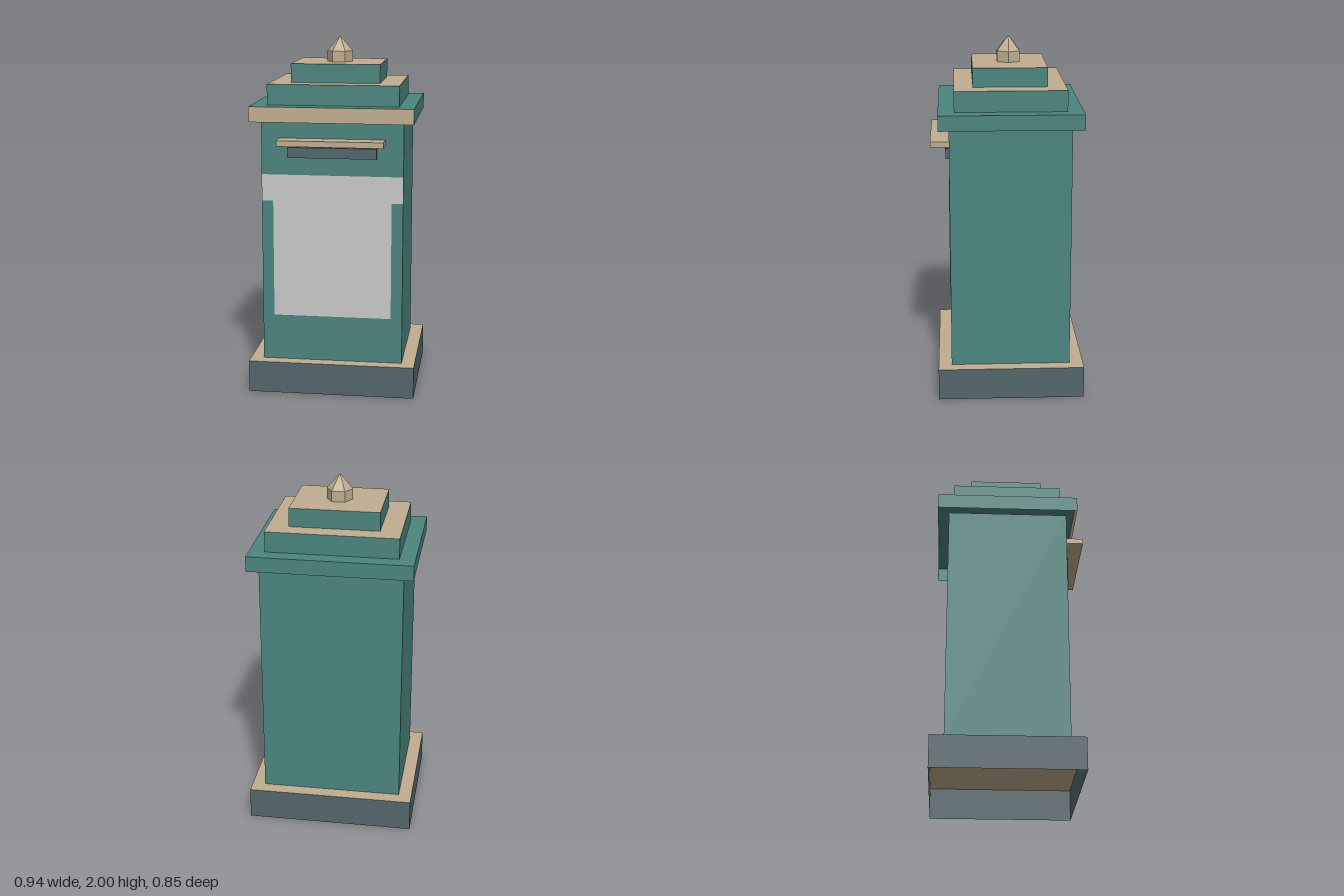
import * as THREE from 'three';

const mat = (name, color) => {
  const m = new THREE.MeshStandardMaterial({ color, side: THREE.DoubleSide });
  m.name = name;
  return m;
};

// Box without a floor, given as half width, height range and depth range.
// Face order: +x, -x, top, front, back.
function openBox(name, halfX, y0, y1, z0, z1, materials) {
  const geo = new THREE.BoxGeometry(halfX * 2, y1 - y0, z1 - z0);
  const idx = Array.from(geo.index.array);
  idx.splice(18, 6);
  geo.setIndex(idx);
  geo.clearGroups();
  materials.forEach((_, i) => geo.addGroup(i * 6, 6, i));
  const mesh = new THREE.Mesh(geo, materials);
  mesh.position.set(0, (y0 + y1) / 2, (z0 + z1) / 2);
  mesh.name = name;
  return mesh;
}

function solidBox(name, halfX, y0, y1, z0, z1, material) {
  const mesh = new THREE.Mesh(new THREE.BoxGeometry(halfX * 2, y1 - y0, z1 - z0), material);
  mesh.position.set(0, (y0 + y1) / 2, (z0 + z1) / 2);
  mesh.name = name;
  return mesh;
}

export function createModel() {
  const group = new THREE.Group();
  group.name = 'pillarBox';
  const teal = mat('teal', 0x4c857f);
  const tan = mat('tan', 0xc0ae90);
  const slate = mat('slate', 0x53666b);
  const grey = mat('grey', 0xc9c9c9);

  // Plinth and body
  group.add(openBox('plinth', 0.47, 0, 0.18, -0.427, 0.396, [slate, slate, tan, slate, slate]));
  group.add(openBox('body', 0.396, 0.18, 1.55, -0.35, 0.322, [teal, teal, teal, teal, teal]));

  // Cornice with a tan front, hollow underneath, then two stepped roof tiers
  group.add(openBox('cornice', 0.454, 1.55, 1.635, -0.412, 0.381, [teal, teal, teal, tan, teal]));
  group.add(openBox('lowerRoofTier', 0.367, 1.635, 1.75, -0.324, 0.293, [teal, teal, tan, teal, teal]));
  group.add(openBox('upperRoofTier', 0.25, 1.75, 1.855, -0.222, 0.189, [teal, teal, tan, teal, teal]));

  // Six-sided finial with points toward left and right
  const finial = new THREE.Group();
  finial.name = 'finial';
  const hex = (name, top, y0, y1) => {
    const geo = new THREE.CylinderGeometry(top, 0.073, y1 - y0, 6).rotateY(Math.PI / 6).toNonIndexed();
    geo.computeVertexNormals();
    const mesh = new THREE.Mesh(geo, tan);
    mesh.position.set(0, (y0 + y1) / 2, -0.016);
    mesh.name = name;
    finial.add(mesh);
  };
  hex('finialPost', 0.073, 1.855, 1.915);
  hex('finialPoint', 0, 1.915, 2);
  group.add(finial);

  // Letter slot and the hood over it
  group.add(solidBox('slot', 0.248, 1.35, 1.408, 0.322, 0.343, slate));
  group.add(solidBox('slotHood', 0.294, 1.425, 1.457, 0.322, 0.426, tan));

  // Stepped front panel, one thin T-shaped face
  const half = [[0.332, 0.44], [0.332, 1.103], [0.396, 1.103], [0.396, 1.252]];
  const outline = [...half, ...half.map(([x, y]) => [-x, y]).reverse()];
  const shape = new THREE.Shape(outline.map(([x, y]) => new THREE.Vector2(x, y)));
  const panel = new THREE.Mesh(new THREE.ShapeGeometry(shape), grey);
  panel.position.z = 0.325;
  panel.name = 'frontPanel';
  group.add(panel);

  return group;
}
